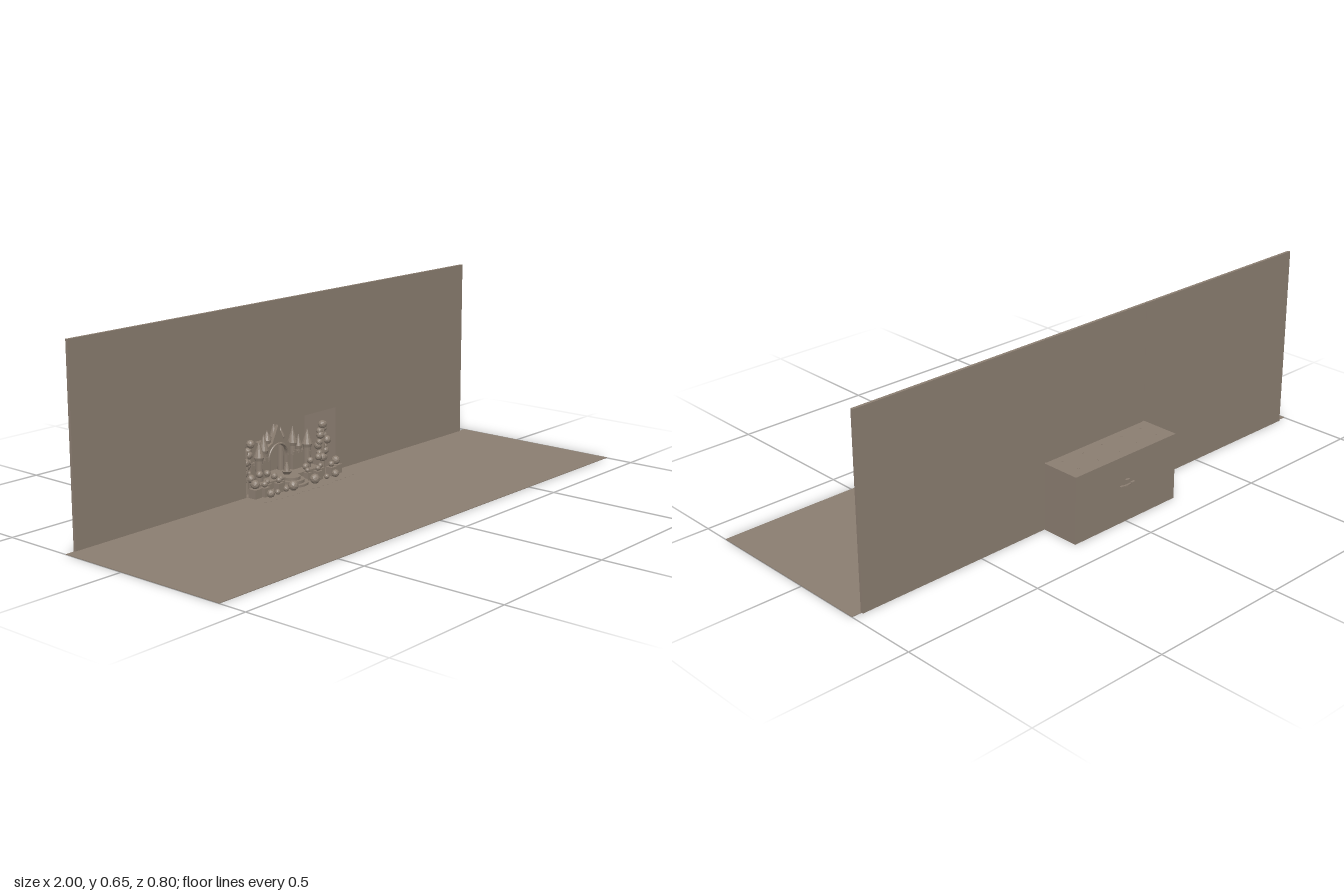
import * as THREE from 'three';

export function createModel() {
  const root = new THREE.Group();
  root.name = 'castleDisplay';
  const stone = new THREE.MeshStandardMaterial({ color: 0x8a7d70 });
  stone.name = 'warm stone';
  stone.flatShading = true;

  const add = (name, geo, x, y, z, parent = root) => {
    const m = new THREE.Mesh(geo, stone);
    m.name = name;
    m.position.set(x, y, z);
    parent.add(m);
    return m;
  };
  // box given by its limits
  const slab = (name, x0, x1, y0, y1, z0, z1, parent) =>
    add(name, new THREE.BoxGeometry(x1 - x0, y1 - y0, z1 - z0),
      (x0 + x1) / 2, (y0 + y1) / 2, (z0 + z1) / 2, parent);
  // cylinder or cone standing on y
  const column = (name, rTop, rBottom, h, x, y, z, sides = 12, parent = root) =>
    add(name, new THREE.CylinderGeometry(rTop, rBottom, h, sides), x, y + h / 2, z, parent);

  // floor and backdrop wall with an opening, grooved at the back
  const W = 0.228, H = 0.235;
  slab('floor', -1, 1, 0, 0.002, -0.245, 0.4);
  for (const s of [-1, 1]) {
    const a = s * W, b = s * 0.965;
    slab('sideWall', Math.min(a, b), Math.max(a, b), 0, 0.652, -0.251, -0.241);
  }
  slab('upperWall', -W, W, H - 0.004, 0.652, -0.248, -0.241);
  slab('upperWallBacking', -W + 0.006, W - 0.006, H, 0.652, -0.251, -0.248);

  // alcove shell, open to the front
  const alcove = new THREE.Group();
  alcove.name = 'alcove';
  root.add(alcove);
  slab('alcoveBase', -W, W, 0, 0.003, -0.39, -0.242, alcove);
  slab('alcoveRoof', -W, W, H - 0.004, H, -0.39, -0.242, alcove);
  slab('alcoveBack', -W, W, 0, H, -0.39, -0.386, alcove);
  for (const s of [-1, 1])
    slab('alcoveSide', s * W - 0.002, s * W + 0.002, 0, H, -0.39, -0.242, alcove);
  for (const z of [-0.28, -0.35])
    for (let i = -2; i <= 2; i++)
      column('ceilingLamp', 0.004, 0.004, 0.008, i * 0.09, H - 0.007, z, 8, alcove);

  // castle: walls, arch, gable and towers
  const castle = new THREE.Group();
  castle.name = 'castle';
  root.add(castle);
  const front = new THREE.Shape();
  front.moveTo(-0.065, 0);
  front.lineTo(-0.065, 0.125);
  front.lineTo(-0.03, 0.14);
  front.lineTo(0, 0.2);
  front.lineTo(0.03, 0.14);
  front.lineTo(0.065, 0.125);
  front.lineTo(0.065, 0);
  const gate = new THREE.Path();
  gate.moveTo(-0.045, 0.03);
  gate.lineTo(0.045, 0.03);
  gate.lineTo(0.045, 0.085);
  gate.absarc(0, 0.085, 0.045, 0, Math.PI, false);
  gate.lineTo(-0.045, 0.03);
  front.holes.push(gate);
  add('gatehouse', new THREE.ExtrudeGeometry(front, { depth: 0.012, bevelEnabled: false }),
    0, 0, -0.315, castle);
  add('archTrim', new THREE.TorusGeometry(0.049, 0.004, 6, 20, Math.PI), 0, 0.085, -0.302, castle);

  const tower = (x, z, r, h, tip) => {
    const g = new THREE.Group();
    g.name = 'tower';
    g.position.set(x, 0, z);
    castle.add(g);
    column('towerShaft', r, r, h, 0, 0, 0, 12, g);
    column('towerCollar', r * 1.3, r * 1.05, 0.012, 0, h - 0.012, 0, 12, g);
    column('towerRoof', 0, r * 1.45, tip - h, 0, h, 0, 12, g);
    slab('towerWindow', -r * 0.35, r * 0.35, h * 0.66, h * 0.8, r * 0.9, r + 0.002, g);
  };
  for (const s of [-1, 1]) {
    tower(s * 0.034, -0.325, 0.011, 0.15, 0.185);
    tower(s * 0.073, -0.305, 0.013, 0.125, 0.182);
    tower(s * 0.122, -0.28, 0.014, 0.115, 0.17);
    tower(s * 0.098, -0.3, 0.01, 0.11, 0.15);
    slab('curtainWall', Math.min(s * 0.06, s * 0.15), Math.max(s * 0.06, s * 0.15),
      0, 0.085, -0.305, -0.29, castle);
    for (let i = 0; i < 6; i++)
      slab('battlement', s * (0.068 + i * 0.015) - 0.004, s * (0.068 + i * 0.015) + 0.004,
        0.085, 0.093, -0.305, -0.29, castle);
  }
  column('spire', 0, 0.017, 0.05, 0, 0.158, -0.325, 12, castle);

  // rear relief that comes through the alcove back
  column('rearDrum', 0.04, 0.04, 0.004, 0, 0.128, -0.358, 20, castle);
  for (const [x, y] of [[0, 0.15], [-0.025, 0.133], [0.025, 0.133]])
    slab('rearStud', x - 0.008, x + 0.008, y - 0.002, y + 0.002, -0.398, -0.386, castle);

  // round steps leading to the gate, and a small fountain
  for (let i = 0; i < 3; i++)
    add('roundStep', new THREE.CylinderGeometry(0.06 - i * 0.014, 0.06 - i * 0.014, 0.01, 24, 1,
      false, -Math.PI / 2, Math.PI), 0, 0.005 + i * 0.01, -0.245);
  slab('stage', -0.16, 0.16, 0.003, 0.03, -0.34, -0.245);
  column('fountainBowl', 0.02, 0.01, 0.012, 0, 0.032, -0.265);
  column('fountainTop', 0.004, 0.012, 0.03, 0, 0.044, -0.265);

  // foliage and planters, mirrored on both sides
  const leaf = (name, x, y, z, r) => {
    const m = add(name, new THREE.IcosahedronGeometry(r, 1), x, y, z);
    m.rotation.set(x * 31, y * 47, z * 29);
  };
  for (const s of [-1, 1]) {
    // climbing trees in the alcove corners
    column('treeTrunk', 0.006, 0.008, 0.15, s * 0.194, 0, -0.27, 8);
    for (let i = 0; i < 7; i++) {
      const y = 0.055 + i * 0.02;
      leaf('treeFoliage', s * (0.194 + (i % 2 ? 0.013 : -0.012)), y, -0.262 - (i % 3) * 0.01, 0.015);
      leaf('treeFoliage', s * (0.194 - (i % 2 ? 0.013 : -0.012)), y - 0.006, -0.275, 0.012);
    }
    // square planters with shrubs
    for (const [x, z, w, h, r] of [[0.205, -0.22, 0.016, 0.033, 0.016],
      [0.17, -0.21, 0.014, 0.033, 0.011], [0.135, -0.23, 0.011, 0.033, 0.009],
      [0.1, -0.21, 0.012, 0.033, 0.01], [0.068, -0.23, 0.01, 0.03, 0.009]]) {
      slab('planter', s * x - w, s * x + w, 0, h, z - w, z + w);
      leaf('shrub', s * x, h + r * 0.9, z, r);
    }
    // low bushes at the front
    for (const [x, z, r] of [[0.165, -0.187, 0.014], [0.055, -0.185, 0.018],
      [0.125, -0.192, 0.01], [0.08, -0.195, 0.011]])
      leaf('frontBush', s * x, r, z, r);
    leaf('wallBush', s * 0.15, 0.065, -0.252, 0.013);
    leaf('wallBush', s * 0.11, 0.06, -0.255, 0.012);
    leaf('wallBush', s * 0.08, 0.045, -0.25, 0.012);
  }

  // curved line of floor studs
  for (let i = -9; i <= 9; i++)
    column('floorStud', 0.003, 0.003, 0.002, i * 0.025, 0.0015,
      -0.142 - 0.014 * (1 - Math.abs(Math.cos(i * 0.17))), 8);

  return root;
}
